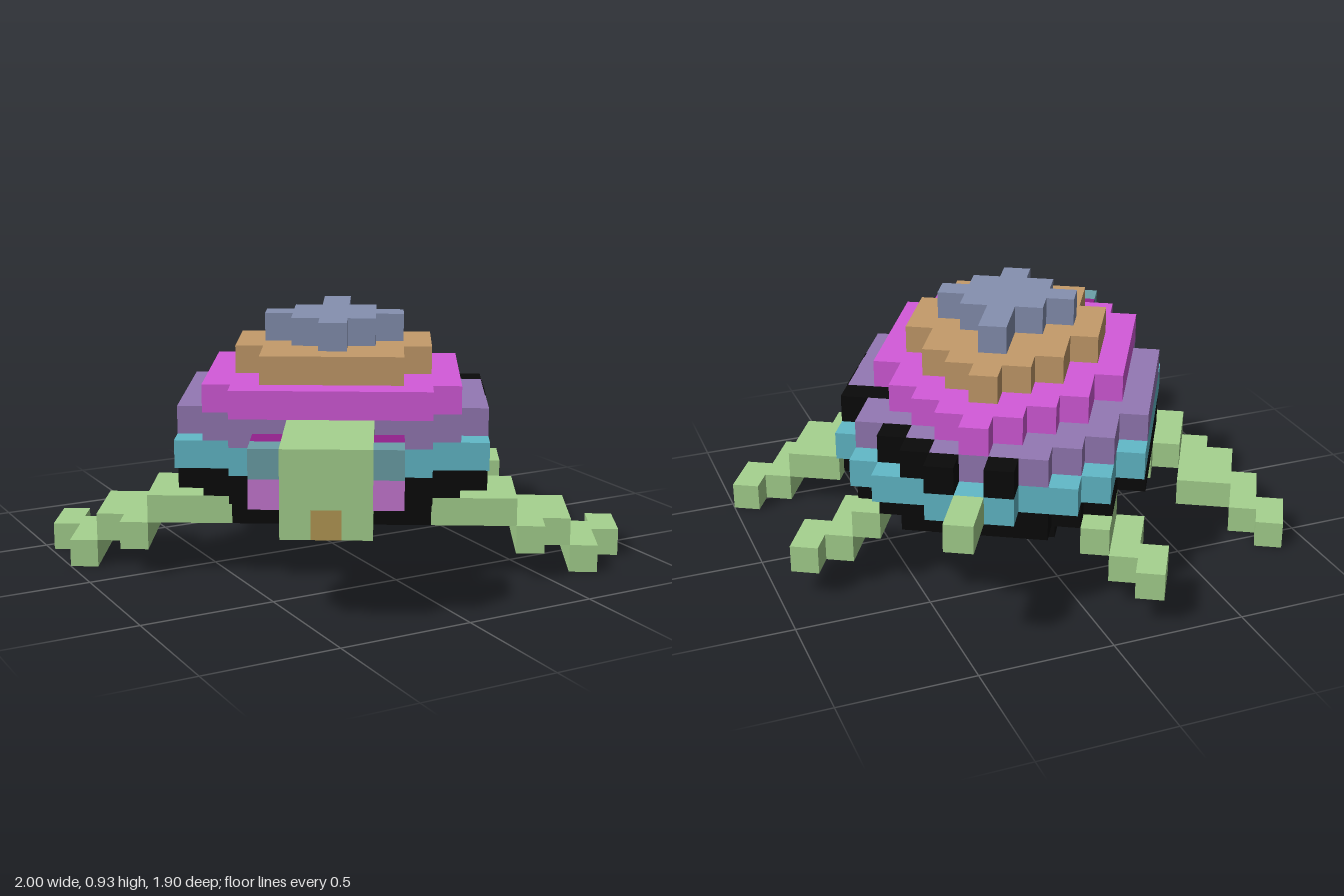
import * as THREE from 'three';

const S = 0.10352;              // cell size
const U0 = 0.01295, V0 = 0.9402; // centre column, front of the head

const GREEN = 0xa6d38f, BLACK = 0x0a0a0a, BLUE = 0x62bac9, PURPLE = 0x9478b4;

// The six sides of a cell: normal and its two in-plane axes
const SIDES = [
  [[1, 0, 0], [0, 1, 0], [0, 0, 1]], [[-1, 0, 0], [0, 0, 1], [0, 1, 0]],
  [[0, 1, 0], [0, 0, 1], [1, 0, 0]], [[0, -1, 0], [1, 0, 0], [0, 0, 1]],
  [[0, 0, 1], [1, 0, 0], [0, 1, 0]], [[0, 0, -1], [0, 1, 0], [1, 0, 0]],
];

export function createModel() {
  const model = new THREE.Group();
  model.name = 'turtle';
  const grid = new Map();  // cell -> part name
  const colors = new Map(); // part name -> color
  const key = (c, y, r) => `${c},${y},${r}`;

  // Fill columns c0..c1, rows r0..r1 (0 = nose, counting backwards) of one layer
  function fill(name, color, y, c0, c1, r0, r1) {
    colors.set(name, color);
    for (let c = c0; c <= c1; c++)
      for (let r = r0; r <= r1; r++) grid.set(key(c, y, r), name);
  }
  // Symmetric slab from [first row, last row, half width]
  function slab(name, color, y, rows) {
    for (const [r0, r1, h] of rows) fill(name, color, y, -h, h, r0, r1);
  }
  // The same block on both sides
  function pair(name, color, y, c0, c1, r0, r1) {
    fill('left' + name, color, y, c0, c1, r0, r1);
    fill('right' + name, color, y, -c1, -c0, r0, r1);
  }

  // Shell, from the belly up
  slab('belly', BLACK, 2, [[5, 12, 3], [13, 13, 2]]);
  slab('lowerShell', BLACK, 3, [[4, 4, 3], [5, 5, 4], [6, 11, 5], [12, 13, 4], [14, 14, 3], [15, 15, 2]]);
  slab('shellRim', BLUE, 4, [[4, 4, 3], [5, 12, 5], [13, 14, 4], [15, 15, 3], [16, 16, 1]]);
  slab('shellBand', PURPLE, 5, [[4, 4, 3], [5, 5, 4], [6, 11, 5], [12, 13, 4], [14, 14, 3], [15, 15, 2]]);
  slab('shellMiddle', 0xd45ada, 6, [[4, 4, 3], [5, 10, 4], [11, 12, 3], [13, 13, 2], [14, 14, 1], [15, 15, 0]]);
  slab('shellUpper', 0xc49b6a, 7, [[5, 6, 2], [7, 9, 3], [10, 11, 2], [12, 12, 1], [13, 13, 0]]);
  slab('shellTop', 0x8590b0, 8, [[6, 6, 0], [7, 7, 1], [8, 8, 2], [9, 9, 1], [10, 11, 0]]);

  // Dark patches on the band
  fill('shellPatches', BLACK, 5, 4, 5, 11, 11);
  for (const [c, r] of [[3, 14], [2, 15], [1, 16], [-1, 16]]) fill('shellPatches', BLACK, 5, c, c, r, r);

  // Head, mouth, eyes and tail
  for (const y of [3, 4, 5]) fill('head', GREEN, y, -1, 1, 0, 3);
  fill('mouth', 0xb59a55, 3, 0, 0, 0, 0);
  pair('EyeUpperFront', 0x6ba0a8, 5, 2, 2, 0, 0);
  pair('EyeUpperBack', 0x92208c, 5, 2, 2, 1, 1);
  pair('EyeLowerFront', 0xc878d4, 4, 2, 2, 0, 0);
  pair('EyeLowerBack', 0x36c6c6, 4, 2, 2, 1, 1);
  fill('tail', GREEN, 4, 0, 0, 17, 18);

  // Front legs step down and outwards
  pair('FrontLeg', GREEN, 2, 4, 5, 5, 8);
  pair('FrontLeg', GREEN, 2, 6, 6, 5, 7);
  pair('FrontLeg', GREEN, 1, 7, 7, 5, 8);
  for (const c of [-7, 7]) grid.delete(key(c, 1, 8));
  pair('FrontLeg', GREEN, 1, 8, 8, 6, 8);
  pair('FrontLeg', GREEN, 1, 7, 7, 8, 8);
  pair('FrontLeg', GREEN, 0, 9, 9, 6, 8);
  pair('FrontLeg', GREEN, 0, 10, 10, 8, 9);

  // Rear legs
  pair('RearLeg', GREEN, 2, 4, 4, 12, 14);
  pair('RearLeg', GREEN, 1, 5, 5, 12, 14);
  pair('RearLeg', GREEN, 1, 6, 6, 14, 15);

  // One mesh per part, made of the exposed cell sides only
  const body = new THREE.Group();
  body.name = 'body';
  for (const [name, color] of colors) {
    const pos = [], idx = [];
    for (const [k, part] of grid) {
      if (part !== name) continue;
      const [c, y, r] = k.split(',').map(Number);
      const mid = [U0 + c * S, (y + 0.5) * S, V0 - (r + 0.5) * S];
      for (const [n, a, b] of SIDES) {
        if (grid.has(key(c + n[0], y + n[1], r - n[2]))) continue;
        const base = pos.length / 3;
        for (const [s, t] of [[-1, -1], [1, -1], [1, 1], [-1, 1]])
          for (let i = 0; i < 3; i++) pos.push(mid[i] + (n[i] + s * a[i] + t * b[i]) * S / 2);
        idx.push(base, base + 1, base + 2, base, base + 2, base + 3);
      }
    }
    const geo = new THREE.BufferGeometry();
    geo.setAttribute('position', new THREE.Float32BufferAttribute(pos, 3));
    geo.setIndex(idx);
    geo.computeVertexNormals();
    const mesh = new THREE.Mesh(geo, new THREE.MeshStandardMaterial({ color }));
    mesh.name = name;
    body.add(mesh);
  }

  // Dark panel along the left edge of the band
  const panel = new THREE.Mesh(
    new THREE.BoxGeometry(0.004, S, 3 * S),
    new THREE.MeshStandardMaterial({ color: BLACK }));
  panel.name = 'sidePanel';
  panel.position.set(U0 + 5.5 * S, 5.5 * S, V0 - 9.5 * S);
  body.add(panel);

  // The turtle is turned on the spot
  body.rotation.y = -Math.PI / 6;
  model.add(body);
  return model;
}
